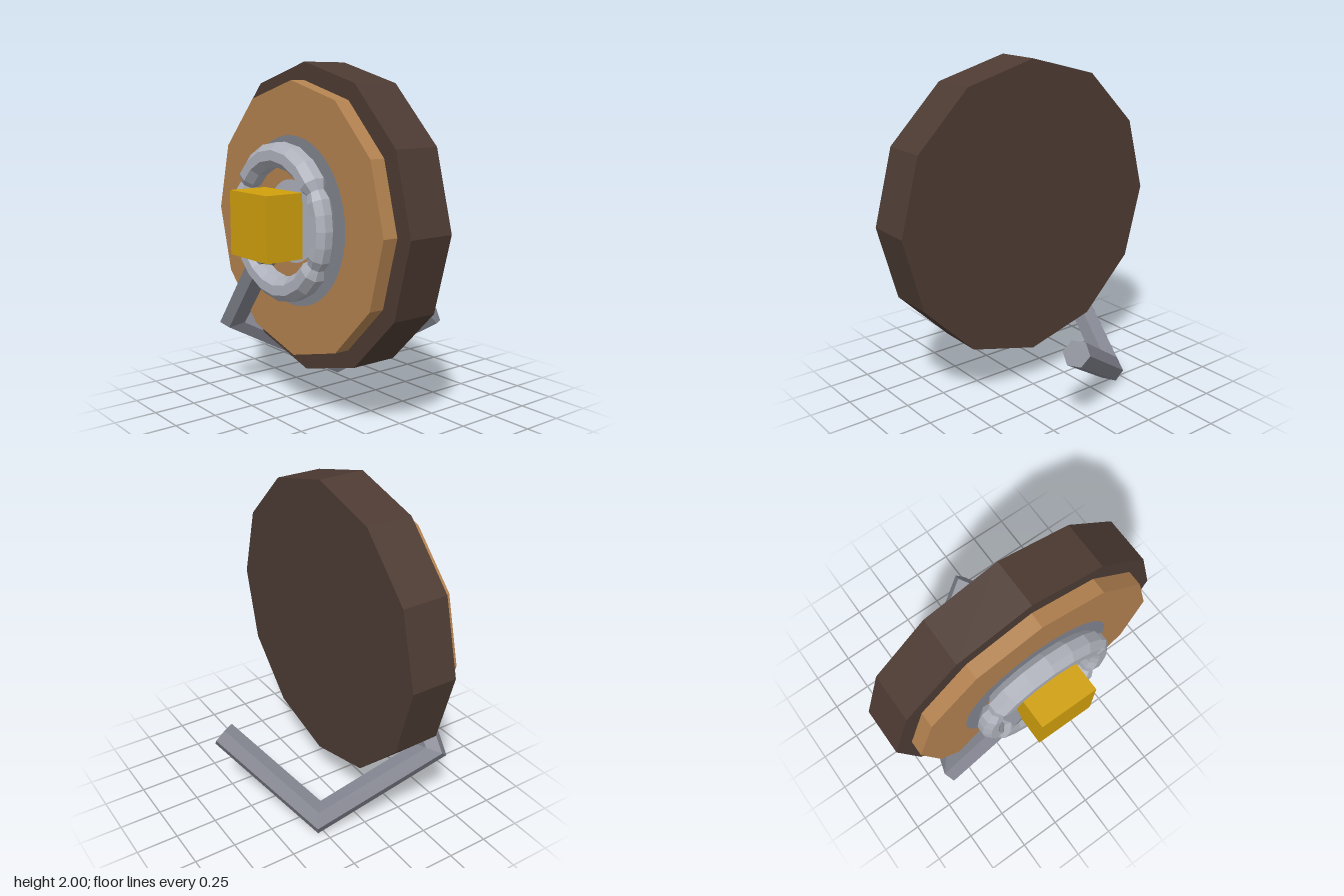
import * as THREE from 'three';

const material = (name, color, side = THREE.FrontSide) => {
  const m = new THREE.MeshStandardMaterial({ color, side });
  m.name = name;
  return m;
};

// Faceted skin over a list of cross-sections, each wound counter-clockwise about the travel direction
function loft(sections, closed) {
  const n = sections[0].length, count = sections.length;
  const out = [];
  const tri = (...corners) => corners.forEach((p) => out.push(p.x, p.y, p.z));
  for (let i = 0; i < (closed ? count : count - 1); i++) {
    const s = sections[i], t = sections[(i + 1) % count];
    for (let j = 0; j < n; j++) {
      const k = (j + 1) % n;
      tri(s[j], s[k], t[k]);
      tri(s[j], t[k], t[j]);
    }
  }
  if (!closed) {
    const first = sections[0], last = sections[count - 1];
    for (let j = 1; j < n - 1; j++) {
      tri(first[0], first[j + 1], first[j]);
      tri(last[0], last[j], last[j + 1]);
    }
  }
  const g = new THREE.BufferGeometry();
  g.setAttribute('position', new THREE.Float32BufferAttribute(out, 3));
  g.computeVertexNormals();
  return g;
}

// Hexagonal bar along a path, mitred at every bend
function bentBar(path, radius) {
  const dirs = path.slice(1).map((p, i) => p.clone().sub(path[i]).normalize());
  const side = new THREE.Vector3().crossVectors(dirs[0], new THREE.Vector3(0, 1, 0)).normalize();
  const up = new THREE.Vector3().crossVectors(side, dirs[0]);
  let ring = [];
  for (let j = 0; j < 6; j++) {
    const a = (j * Math.PI) / 3;
    ring.push(path[0].clone()
      .addScaledVector(side, radius * Math.cos(a))
      .addScaledVector(up, -radius * Math.sin(a)));
  }
  const sections = [ring];
  for (let i = 1; i < path.length; i++) {
    const d = dirs[i - 1];
    const plane = d.clone().add(dirs[i] || d).normalize();
    ring = ring.map((p) => {
      const t = path[i].clone().sub(p).dot(plane) / d.dot(plane);
      return p.clone().addScaledVector(d, t);
    });
    sections.push(ring);
  }
  return loft(sections, false);
}

// Octagonal ring pinched at four joints, with slimmer links at the sides
function linkedRing() {
  const quarter = [[0, 0.85], [12, 0.85], [23, 0.88], [31, 0.68], [38, 1], [54, 1], [72, 1]];
  const stops = [];
  for (let q = 0; q < 4; q++) {
    if (q % 2 === 0) quarter.forEach(([a, s]) => stops.push([a + q * 90, s]));
    else {
      stops.push([q * 90, 1]);
      quarter.slice(1).reverse().forEach(([a, s]) => stops.push([(q + 1) * 90 - a, s]));
    }
  }
  const sections = stops.map(([deg, scale]) => {
    const a = THREE.MathUtils.degToRad(deg);
    const section = [];
    for (let j = 0; j < 8; j++) {
      const p = ((j + 0.5) * Math.PI) / 4;
      const r = 0.375 + 0.074 * scale * Math.cos(p);
      section.push(new THREE.Vector3(r * Math.cos(a), r * Math.sin(a), -0.074 * scale * Math.sin(p)));
    }
    return section;
  });
  return loft(sections, true);
}

// Twelve-sided slab facing +z, with a corner at the top
function slab(radius, depth) {
  const g = new THREE.CylinderGeometry(radius, radius, depth, 12).rotateX(Math.PI / 2).toNonIndexed();
  g.computeVertexNormals();
  return g;
}

export function createModel() {
  const brown = material('dark brown', 0x4d3b33);
  const tan = material('tan wood', 0xb38250);
  const steel = material('steel grey', 0x82848f);
  const pale = material('pale grey', 0xaeb1bb);
  const gold = material('gold', 0xd0a00c);

  const group = new THREE.Group();
  const add = (name, geometry, mat, x, y, z) => {
    const mesh = new THREE.Mesh(geometry, mat);
    mesh.name = name;
    mesh.position.set(x, y, z);
    group.add(mesh);
  };
  const cy = 1.125;

  // Stacked discs
  add('backDisc', slab(0.875, 0.28), brown, 0, cy, 0.14);
  add('frontDisc', slab(0.775, 0.09), tan, 0, cy, 0.325);

  // Flat inlays on the front
  add('ringInlay', new THREE.RingGeometry(0.36, 0.478, 48), steel, 0, cy, 0.373);
  add('centreInlay', new THREE.CircleGeometry(0.235, 32), pale, 0, cy, 0.373);

  // Raised ring and centre block
  add('linkedRing', linkedRing(), pale, 0, cy, 0.442);
  add('centreBlock', new THREE.BoxGeometry(0.36, 0.36, 0.23), gold, 0, cy, 0.545);

  // Bent bar wrapping from the back round to the centre block
  const path = [
    [0.16, 0.48, -0.58], [-0.4, 0.09, -0.26], [-0.6, 0.45, 0.39],
    [-0.24, 0.87, 0.42], [0, 1.1, 0.4],
  ].map((p) => new THREE.Vector3(...p));
  add('bentBar', bentBar(path, 0.08), steel, 0, 0, 0);

  return group;
}
